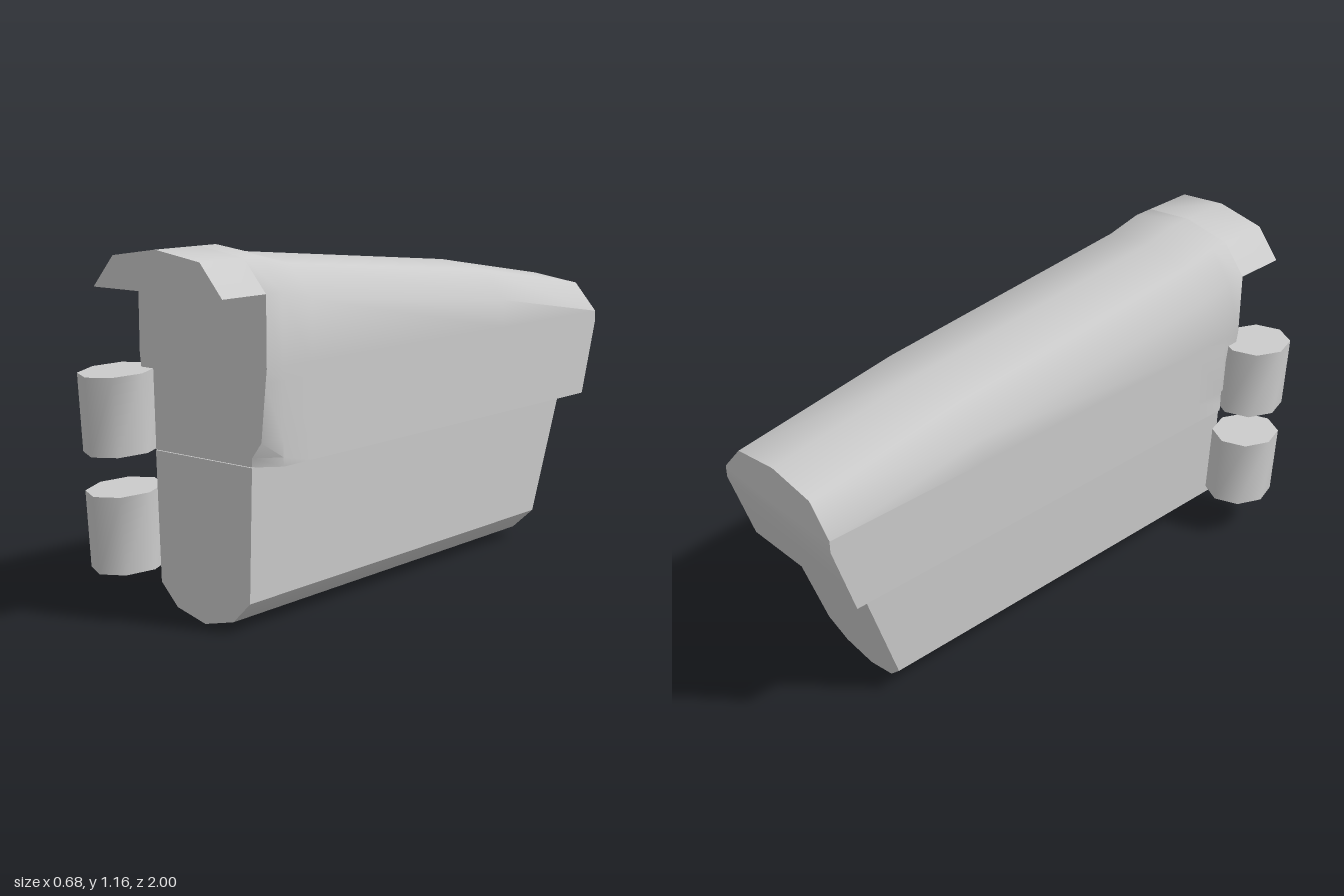
import * as THREE from 'three';
import { toCreasedNormals } from 'three/addons/utils/BufferGeometryUtils.js';

const CENTRE_X = 0.07;
const grey = () => new THREE.MeshStandardMaterial({ color: 0xcccccc });

// Closed solid from mirrored sections, front to back.
// Each section lists its right half from top to bottom as [x, y, z].
function loftMirrored(sections, crease) {
  const pos = [];
  const tri = (...pts) => {
    const [a, b, c] = pts.map((p) => new THREE.Vector3(...p));
    if (b.sub(a).cross(c.sub(a)).length() > 1e-8) pos.push(...pts.flat());
  };
  const quad = (a, b, c, d) => { tri(a, b, c); tri(a, c, d); };
  const flip = ([x, y, z]) => [-x, y, z];
  const rings = sections.map((s) => [...s, ...s.map(flip).reverse()]);
  const n = rings[0].length;
  for (let i = 0; i < rings.length - 1; i++) {
    const a = rings[i], b = rings[i + 1];
    for (let j = 0; j < n; j++) {
      const k = (j + 1) % n;
      quad(a[j], a[k], b[k], b[j]);
    }
  }
  // End caps, as rows between the two halves
  const first = sections[0], last = sections[sections.length - 1];
  for (let j = 0; j < first.length - 1; j++) {
    quad(flip(first[j]), flip(first[j + 1]), first[j + 1], first[j]);
    quad(last[j], last[j + 1], flip(last[j + 1]), flip(last[j]));
  }
  const geo = new THREE.BufferGeometry();
  geo.setAttribute('position', new THREE.Float32BufferAttribute(pos, 3));
  return toCreasedNormals(geo, crease);
}

// Rounded roof profile below a ridge height
const arch = (top, z) => [[0, top, z], [0.18, top - 0.026, z], [0.267, top - 0.125, z]];

export function createModel() {
  const group = new THREE.Group();
  const add = (name, geo, x = CENTRE_X, y = 0, z = 0) => {
    const mesh = new THREE.Mesh(geo, grey());
    mesh.name = name;
    mesh.position.set(x, y, z);
    group.add(mesh);
    return mesh;
  };

  // Upper body: narrowed front corners, sloping roof, raked rear
  const sideRows = [0.82, 0.78, 0.6, 0.55, 0.522];
  const frontWidths = [0.267, 0.262, 0.243, 0.205, 0.203];
  const rake = (y) => -1 + Math.max(0, 0.78 - y) * 0.31;
  const stations = [[0.8, 1.165], [0.73, 1.165], [0.6, 1.135], [-0.4, 1.04], [-1, 0.946]];
  const upper = stations.map(([z, top], i) => [
    ...arch(top, z),
    ...sideRows.map((y, j) => [
      i === 0 ? frontWidths[j] : 0.267,
      Math.min(y, top - 0.126),
      z === -1 ? rake(y) : z,
    ]),
  ]);
  add('upperBody', loftMirrored(upper, 0.8));

  // Overhanging lip at the front of the roof
  add('frontLip', loftMirrored([arch(1.165, 0.98), arch(1.165, 0.8)], 0.8));

  // Lower body: narrower, rounded underside, raked rear
  const lowerHalf = [[0.204, 0.52, -0.858], [0.19, 0.1, -0.72], [0.12, 0.03, -0.7], [0, 0, -0.692]];
  const lower = [
    lowerHalf.map(([x, y]) => [x, y, 0.8]),
    lowerHalf,
  ];
  add('lowerBody', loftMirrored(lower, 0.7));

  // Two tilted eight-sided hinge barrels on the front right corner
  const barrel = new THREE.CylinderGeometry(1, 1, 0.25, 8).scale(0.113, 1, 0.13);
  const barrelGeo = toCreasedNormals(barrel, 0.9);
  [['upperHinge', 0.647, 0.862], ['lowerHinge', 0.273, 0.842]].forEach(([name, y, z]) => {
    add(name, barrelGeo, -0.226, y, z).rotation.x = 0.065;
  });

  return group;
}
